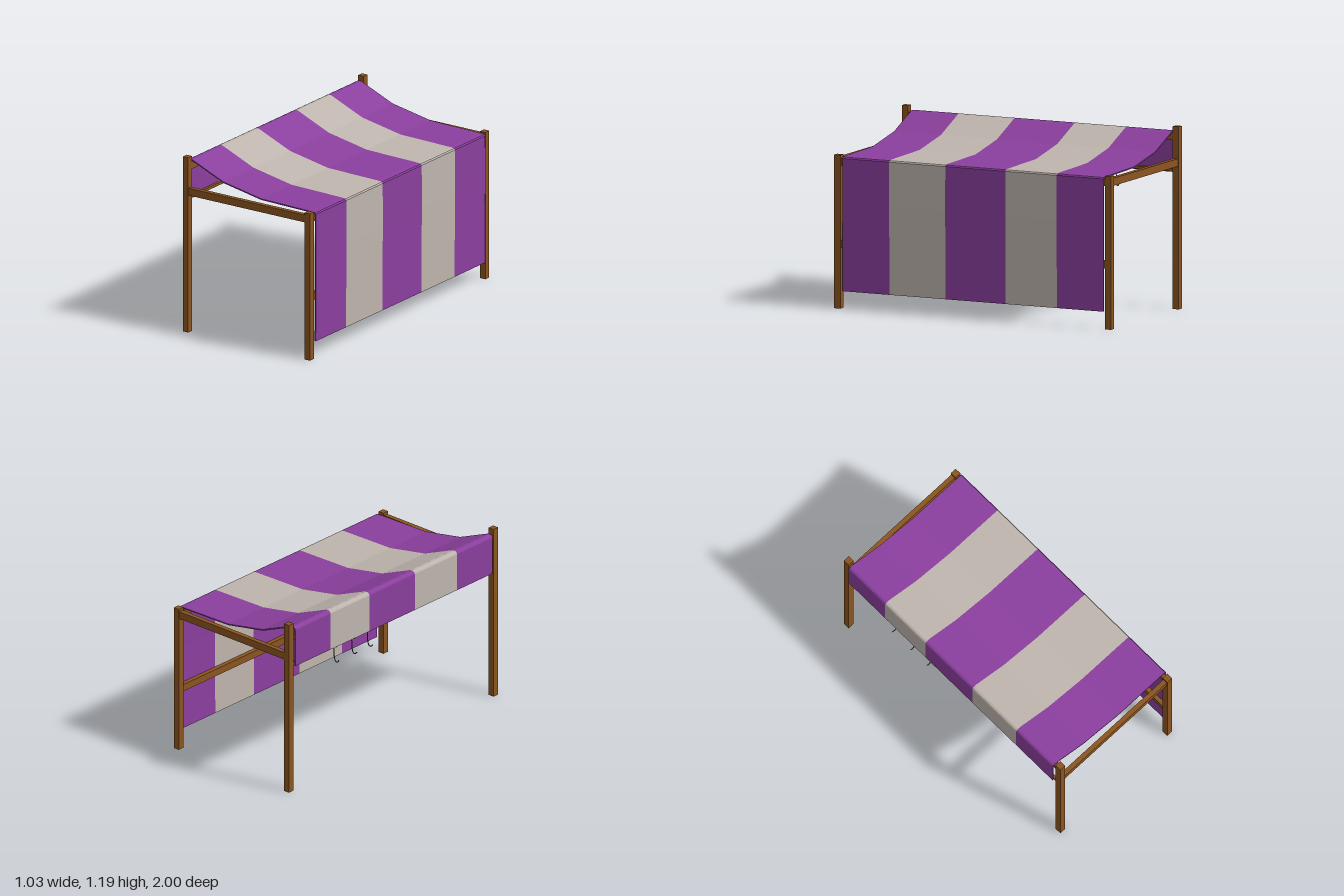
import * as THREE from 'three';

const wood = new THREE.MeshStandardMaterial({ name: 'brown wood', color: 0x8b5520 });
const purple = new THREE.MeshStandardMaterial({ name: 'purple cloth', color: 0x8b3f9e });
const pale = new THREE.MeshStandardMaterial({ name: 'pale grey cloth', color: 0xbfb5ae });
const metal = new THREE.MeshStandardMaterial({ name: 'dark metal', color: 0x5c5a58 });

export function createModel() {
  const model = new THREE.Group();
  model.name = 'awningStall';

  // box given by its min and max on each axis
  const beam = (name, x0, x1, y0, y1, z0, z1) => {
    const mesh = new THREE.Mesh(new THREE.BoxGeometry(x1 - x0, y1 - y0, z1 - z0), wood);
    mesh.position.set((x0 + x1) / 2, (y0 + y1) / 2, (z0 + z1) / 2);
    mesh.name = name;
    model.add(mesh);
  };

  // posts and the rails across each end
  for (const s of [-1, 1]) {
    const z0 = s * 0.978 - 0.022, z1 = s * 0.978 + 0.022;
    beam('tallPost', -0.495, -0.452, 0, 1.19, z0, z1);
    beam('shortPost', 0.464, 0.507, 0, 1, z0, z1);
    beam('endRail', -0.452, 0.464, 0.932, 0.982, s * 0.979 - 0.016, s * 0.979 + 0.016);
  }

  // long rails between the ends
  beam('highLongRail', -0.489, -0.457, 1.1, 1.146, -0.957, 0.957);
  beam('lowLongRail', 0.47, 0.5, 0.933, 0.979, -0.957, 0.957);
  beam('middleLongRail', 0.47, 0.5, 0.397, 0.445, -0.957, 0.957);
  beam('hookRail', -0.492, -0.474, 0.892, 0.91, -0.957, 0.957);

  // cloth cross-section: outer line from back hem over the top to the long hem
  const outer = [
    [-0.503, 0.886], [-0.503, 1.142], [-0.497, 1.153], [-0.485, 1.159], [-0.465, 1.158],
    [-0.445, 1.15], [-0.22, 1.056], [0.08, 1.0], [0.46, 0.993], [0.49, 0.992],
    [0.505, 0.989], [0.512, 0.98], [0.513, 0.69], [0.511, 0.395], [0.509, 0.115],
  ].map(([x, y]) => new THREE.Vector2(x, y));
  const thickness = 0.008;
  const inner = outer.map((p, i) => {
    const a = outer[Math.max(i - 1, 0)], b = outer[Math.min(i + 1, outer.length - 1)];
    const d = b.clone().sub(a).normalize();
    return new THREE.Vector2(p.x + d.y * thickness, p.y - d.x * thickness);
  });
  const section = new THREE.Shape([...outer, ...inner.reverse()]);

  // five stripes along the length
  const cloth = new THREE.Group();
  cloth.name = 'clothCover';
  const edges = [-0.948, -0.61, -0.24, 0.195, 0.6, 0.938];
  for (let i = 0; i < 5; i++) {
    const geo = new THREE.ExtrudeGeometry(section, { depth: edges[i + 1] - edges[i], bevelEnabled: false });
    const stripe = new THREE.Mesh(geo, i % 2 ? pale : purple);
    stripe.position.z = edges[i];
    stripe.name = i % 2 ? 'paleStripe' : 'purpleStripe';
    cloth.add(stripe);
  }
  model.add(cloth);

  // hooks hanging from the thin rail
  const path = new THREE.CatmullRomCurve3([
    [-0.492, 0.875], [-0.49, 0.908], [-0.476, 0.912], [-0.467, 0.89], [-0.469, 0.84],
    [-0.472, 0.795], [-0.482, 0.772], [-0.496, 0.77], [-0.507, 0.778], [-0.513, 0.79],
  ].map(([x, y]) => new THREE.Vector3(x, y, 0)));
  const hookGeo = new THREE.TubeGeometry(path, 28, 0.0035, 6);
  for (const z of [-0.54, -0.37, -0.22]) {
    const hook = new THREE.Mesh(hookGeo, metal);
    hook.position.z = z;
    hook.name = 'hook';
    model.add(hook);
  }
  return model;
}
